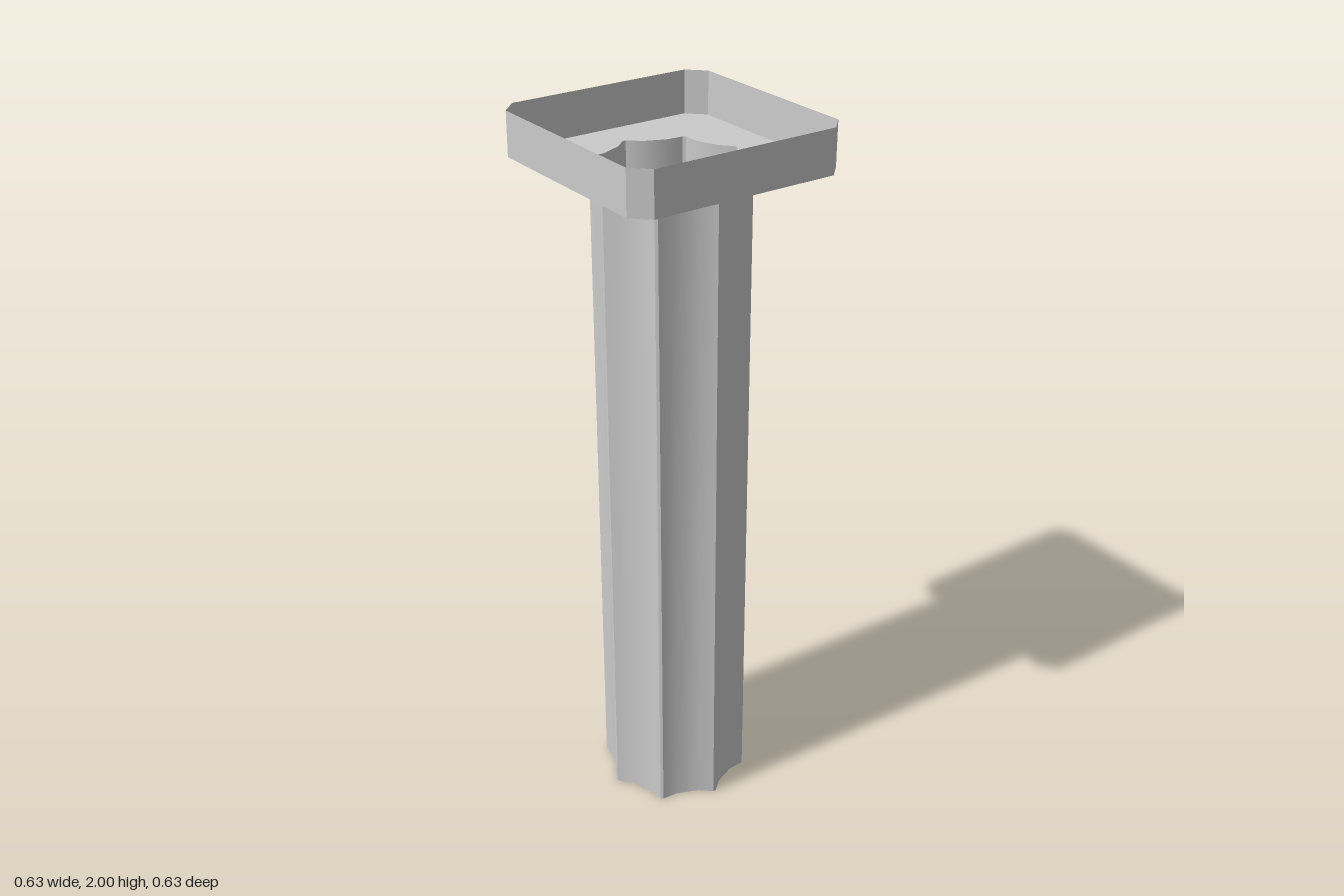
import * as THREE from 'three';
import { toCreasedNormals } from 'three/addons/utils/BufferGeometryUtils.js';

const material = new THREE.MeshStandardMaterial({ color: 0xcccccc, side: THREE.DoubleSide });

const FLOOR_Y = 1.88; // underside of the capital
const TOP_Y = 2;
const LEAN = -0.012; // z offset of the shaft's foot

// Eight-flute outline: blunt ridges with three-sided hollows between them
function flutedOutline() {
  const points = [];
  const profile = [[-12.6, 0.1825], [-1.2, 0.2085], [1.2, 0.2085], [12.6, 0.1825]];
  for (let i = 0; i < 8; i++) {
    for (const [offset, radius] of profile) {
      const a = THREE.MathUtils.degToRad(i * 45 + offset);
      points.push(new THREE.Vector2(Math.sin(a) * radius, Math.cos(a) * radius));
    }
  }
  return points;
}

// Square outline with cut corners
function capOutline(half = 0.313, cut = 0.267) {
  return [
    [-cut, half], [cut, half], [half, cut], [half, -cut],
    [cut, -half], [-cut, -half], [-half, -cut], [-half, cut],
  ].map(([x, z]) => new THREE.Vector2(x, z));
}

// Open wall following an outline between two heights
function wall(outline, y0, y1, footZ, crease) {
  const n = outline.length;
  const positions = [];
  const index = [];
  for (const p of outline) positions.push(p.x, y0, p.y + footZ, p.x, y1, p.y);
  for (let i = 0; i < n; i++) {
    const a = i * 2;
    const b = ((i + 1) % n) * 2;
    index.push(a, b, b + 1, a, b + 1, a + 1);
  }
  const geometry = new THREE.BufferGeometry();
  geometry.setAttribute('position', new THREE.Float32BufferAttribute(positions, 3));
  geometry.setIndex(index);
  return toCreasedNormals(geometry, THREE.MathUtils.degToRad(crease));
}

export function createModel() {
  const group = new THREE.Group();
  group.name = 'flutedColumn';
  const add = (name, geometry) => {
    const mesh = new THREE.Mesh(geometry, material);
    mesh.name = name;
    group.add(mesh);
  };

  // Hollow fluted shaft, leaning very slightly
  add('shaft', wall(flutedOutline(), 0, FLOOR_Y, LEAN, 30));

  // Rim of the capital, open at the top
  add('capitalRim', wall(capOutline(), FLOOR_Y, TOP_Y, 0, 20));

  // Capital floor, pierced by the shaft opening
  const floor = new THREE.Shape(capOutline());
  floor.holes.push(new THREE.Path(flutedOutline()));
  const floorGeometry = new THREE.ShapeGeometry(floor);
  floorGeometry.rotateX(-Math.PI / 2);
  floorGeometry.translate(0, FLOOR_Y, 0);
  add('capitalFloor', floorGeometry);

  return group;
}
